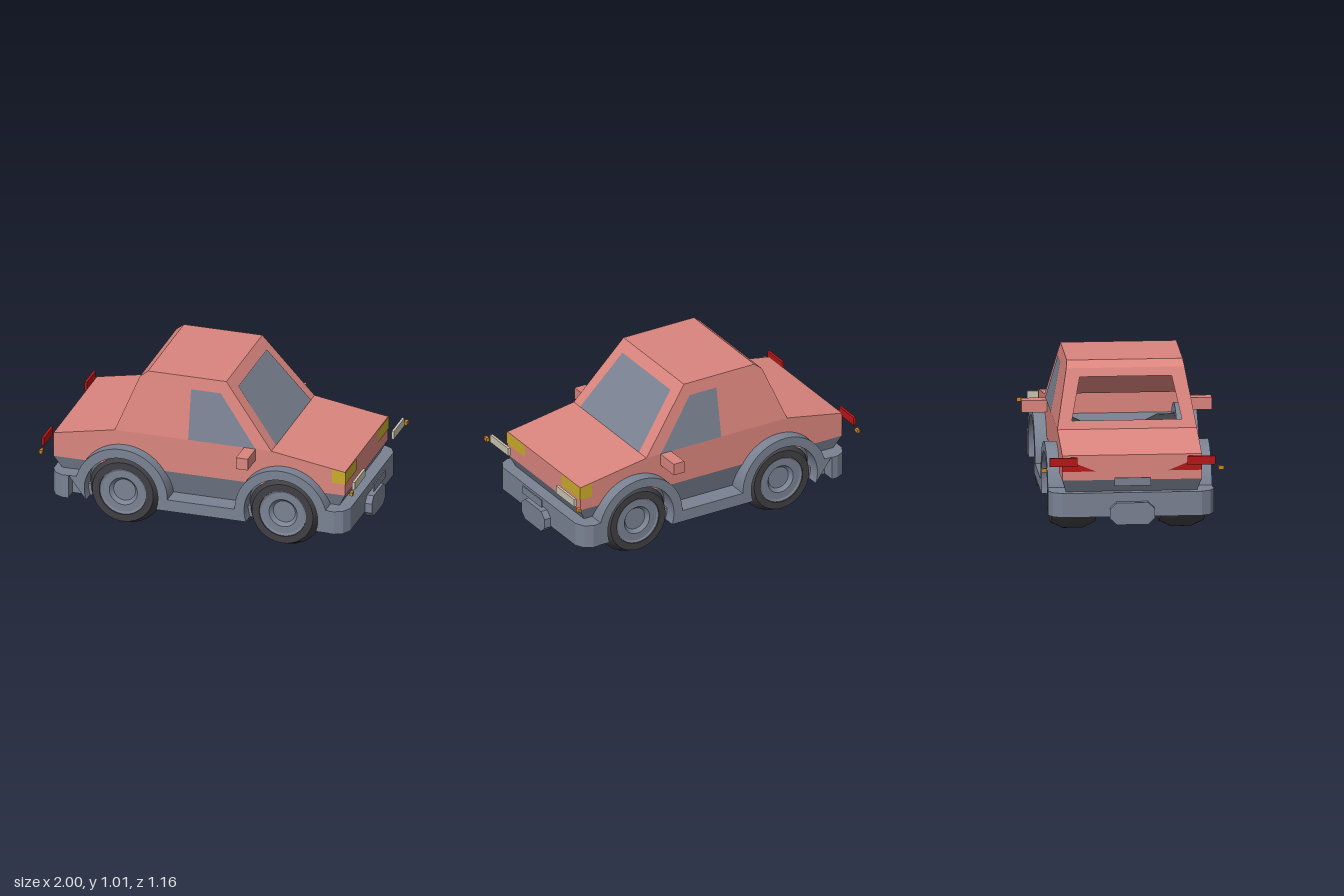
import * as THREE from 'three';
import { toCreasedNormals } from 'three/addons/utils/BufferGeometryUtils.js';

const mat = (name, color, side = THREE.FrontSide) => {
  const m = new THREE.MeshStandardMaterial({ color, side });
  m.name = name;
  return m;
};

export function createModel() {
  const car = new THREE.Group();
  car.name = 'car';
  const red = mat('body red', 0xdb857e, THREE.DoubleSide);
  const grey = mat('trim grey', 0x7a8293);
  const glass = mat('glass grey', 0x7b8292, THREE.DoubleSide);
  const rubber = mat('tyre rubber', 0x403f44);
  const cream = mat('headlight cream', 0xcac5b0);
  const orange = mat('indicator orange', 0xd28522);
  const tail = mat('tail light red', 0xba1518, THREE.DoubleSide);
  const yellow = mat('lamp yellow', 0xcbab2c, THREE.DoubleSide);

  const add = (name, geo, material, parent = car) => {
    const m = new THREE.Mesh(geo, material);
    m.name = name;
    parent.add(m);
    return m;
  };
  // box from min and max corners
  const box = (name, material, x0, x1, y0, y1, z0, z1) => {
    const m = add(name, new THREE.BoxGeometry(x1 - x0, y1 - y0, z1 - z0), material);
    m.position.set((x0 + x1) / 2, (y0 + y1) / 2, (z0 + z1) / 2);
    return m;
  };
  // flat-faced surface from convex polygons
  const faces = (polys) => {
    const v = [];
    for (const p of polys) {
      for (let i = 1; i < p.length - 1; i++) v.push(...p[0], ...p[i], ...p[i + 1]);
    }
    const g = new THREE.BufferGeometry();
    g.setAttribute('position', new THREE.Float32BufferAttribute(v, 3));
    g.computeVertexNormals();
    return g;
  };
  // side polygon in x,y at a given z, wound to face outward
  const sidePoly = (pts, zOf, s) => {
    const p = pts.map(([x, y]) => [x, y, s * zOf(y)]);
    return s > 0 ? p : p.reverse();
  };
  // band across the car from (x0,y0) to (x1,y1), travelling clockwise in x,y
  const band = ([x0, y0, a], [x1, y1, b]) => [[x0, y0, -a], [x0, y0, a], [x1, y1, b], [x1, y1, -b]];
  const W = 0.425;
  const cabinZ = (y) => W - Math.max(0, y - 0.62) / 0.39 * 0.072;

  // Hollow body shell
  const lower = [[-0.95, 0.39], [0.91, 0.39], [0.91, 0.545], [0.44, 0.62], [-0.56, 0.62], [-0.95, 0.545]];
  const cabin = [[-0.56, 0.62], [0.44, 0.62], [0.13, 1.01], [-0.37, 1.01], [-0.42, 0.97]];
  const shell = [];
  for (const s of [1, -1]) shell.push(sidePoly(lower, cabinZ, s), sidePoly(cabin, cabinZ, s));
  const at = (x, y) => [x, y, cabinZ(y)];
  const outline = [
    [at(-0.95, 0.39), at(-0.95, 0.545)], [at(-0.95, 0.545), at(-0.56, 0.62)],
    [at(-0.42, 0.97), at(-0.37, 1.01)], [at(-0.37, 1.01), at(0.13, 1.01)],
    [at(0.13, 1.01), at(0.44, 0.62)], [at(0.44, 0.62), at(0.91, 0.545)],
    [at(0.91, 0.545), at(0.91, 0.39)],
  ];
  for (const [a, b] of outline) shell.push(band(a, b));
  // rear panel as a frame around the open window
  const outer = band(at(-0.56, 0.62), at(-0.42, 0.97));
  const inner = band([-0.54, 0.67, 0.335], [-0.44, 0.92, 0.28]);
  for (let i = 0; i < 4; i++) {
    const j = (i + 1) % 4;
    shell.push([outer[i], outer[j], inner[j], inner[i]]);
  }
  add('bodyShell', faces(shell), red);

  // Windscreen and side windows
  const e = 0.004;
  add('windscreen', faces([band([0.178 + e, 0.95 + e, 0.28], [0.44 + e, 0.62 + e, 0.345])]), glass);
  const win = [[-0.09, 0.622], [0.34, 0.622], [0.1, 0.935], [-0.09, 0.935]];
  for (const s of [1, -1]) add('sideWindow', faces([sidePoly(win, (y) => cabinZ(y) + e, s)]), glass);

  // Tapered underbody, which is also the cabin floor
  const ring = (x0, x1, y, z) => [[x0, y, z], [x1, y, z], [x1, y, -z], [x0, y, -z]];
  const top = ring(-0.95, 0.91, 0.39, W);
  const bottom = ring(-0.86, 0.83, 0.235, 0.376);
  const under = [top, [...bottom].reverse()];
  for (let i = 0; i < 4; i++) {
    const j = (i + 1) % 4;
    under.push([bottom[i], bottom[j], top[j], top[i]]);
  }
  add('underbody', faces(under), grey);
  box('chassis', grey, -0.83, 0.83, 0.16, 0.235, -0.42, 0.42);

  // Sills with wheel arches
  const axles = [-0.495, 0.525];
  const cy = 0.235, rIn = 0.235, rOut = 0.295;
  const aIn = Math.asin(0.075 / rIn), aOut = Math.asin(0.075 / rOut);
  const arch = new THREE.Shape();
  arch.moveTo(-0.83, 0.16);
  for (const x of axles) arch.absarc(x, cy, rIn, Math.PI + aIn, -aIn, true);
  arch.lineTo(0.83, 0.16);
  arch.lineTo(0.83, 0.31);
  arch.absarc(axles[1], cy, rOut, aOut, Math.PI, false);
  arch.absarc(axles[0], cy, rOut, 0, Math.PI - aOut, false);
  arch.lineTo(-0.83, 0.31);
  for (const z of [0.37, -0.5]) {
    const g = new THREE.ExtrudeGeometry(arch, { depth: 0.13, bevelEnabled: false, curveSegments: 20 });
    add('sillAndArches', toCreasedNormals(g, 0.5), grey).position.z = z;
  }

  for (const s of [1, -1]) {
    // Bumper with chamfered corners
    const xe = s > 0 ? 0.945 : 0.95;
    const plan = new THREE.Shape([
      [0.83, -0.505], [xe - 0.08, -0.505], [xe - 0.03, -0.48], [xe, -0.425],
      [xe, 0.425], [xe - 0.03, 0.48], [xe - 0.08, 0.505], [0.83, 0.505],
    ].map(([x, z]) => new THREE.Vector2(x, z)));
    const bumper = new THREE.ExtrudeGeometry(plan, { depth: 0.15, bevelEnabled: false });
    bumper.rotateX(-Math.PI / 2);
    const b = add(s > 0 ? 'frontBumper' : 'rearBumper', bumper, grey);
    b.position.y = 0.16;
    b.rotation.y = s > 0 ? 0 : Math.PI;

    // Eight-sided bumper block
    const oct = new THREE.Shape([
      [-0.095, -0.068], [0.095, -0.068], [0.136, -0.03], [0.136, 0.03],
      [0.095, 0.068], [-0.095, 0.068], [-0.136, 0.03], [-0.136, -0.03],
    ].map(([x, y]) => new THREE.Vector2(x, y)));
    const block = add('bumperBlock', new THREE.ExtrudeGeometry(oct, { depth: 0.05, bevelEnabled: false }), grey);
    block.rotation.y = s * Math.PI / 2;
    block.position.set(s * 0.938, 0.186, 0);
  }

  // Blank number plates
  box('frontPlate', grey, 0.988, 0.996, 0.29, 0.34, -0.11, 0.11);
  box('rearPlate', grey, -1, -0.992, 0.363, 0.413, -0.11, 0.11);

  for (const s of [1, -1]) {
    const pair = (name, m, x0, x1, y0, y1, z0, z1) =>
      box(name, m, x0, x1, y0, y1, Math.min(s * z0, s * z1), Math.max(s * z0, s * z1));
    // Mirrors and lamps
    pair('mirror', red, 0.265, 0.34, 0.545, 0.62, 0.42, 0.58);
    pair('headlight', cream, 0.978, 0.994, 0.467, 0.518, 0.28, 0.49);
    pair('frontIndicator', orange, 0.98, 1, 0.455, 0.478, 0.521, 0.555);
    pair('tailLight', tail, -1, -0.984, 0.487, 0.54, 0.335, 0.505);
    pair('rearIndicator', orange, -1, -0.982, 0.455, 0.478, 0.521, 0.555);
    // Painted corner lamps and rear wedges
    const f = 0.91 + e, z = s * (W + e);
    const lamp = [
      [[f, 0.465, s * 0.213], [f, 0.465, z], [f, 0.544, z], [f, 0.544, s * 0.213]],
      [[f, 0.465, z], [0.83, 0.465, z], [0.83, 0.556, z], [f, 0.544, z]],
    ];
    add('cornerLamp', faces(s > 0 ? lamp.map((p) => p.reverse()) : lamp), yellow);
    const wedge = [[-0.954, 0.445, s * 0.22], [-0.954, 0.445, s * W], [-0.954, 0.53, s * W]];
    add('tailWedge', faces([s > 0 ? wedge : wedge.reverse()]), tail);
  }

  // Wheels: lathed tyre and dished hub
  const lathe = (pts) => {
    const g = new THREE.LatheGeometry(pts.map(([r, h]) => new THREE.Vector2(r, h)), 40);
    g.rotateX(Math.PI / 2);
    return toCreasedNormals(g, 0.4);
  };
  const tyreGeo = lathe([[0, 0.195], [0.195, 0.195], [0.231, 0.27], [0.231, 0.39], [0.195, 0.467], [0.15, 0.467], [0.145, 0.45]]);
  const hubGeo = lathe([[0.152, 0.45], [0.15, 0.462], [0.135, 0.455], [0.09, 0.455], [0.07, 0.43], [0, 0.43]]);
  for (const x of axles) {
    for (const s of [1, -1]) {
      const wheel = new THREE.Group();
      wheel.name = 'wheel';
      add('tyre', tyreGeo, rubber, wheel);
      add('hub', hubGeo, grey, wheel);
      wheel.position.set(x, 0.231, 0);
      wheel.rotation.y = s > 0 ? 0 : Math.PI;
      car.add(wheel);
    }
  }
  return car;
}
